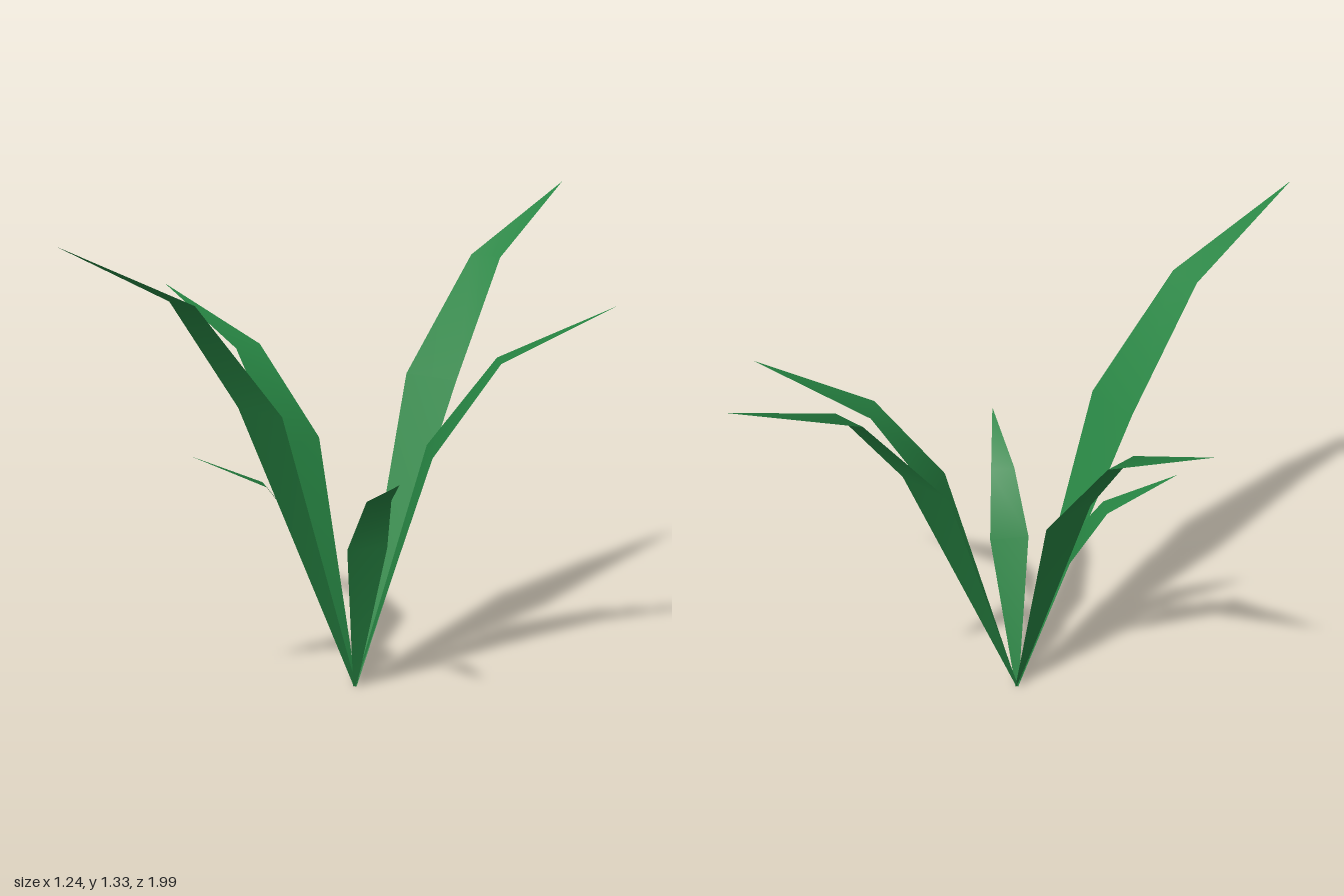
import * as THREE from 'three';

// Leaf sizes: [distance outward, height, width] at the root, belly, neck and tip
const TALL = [[0, 0, 0.012], [0.347, 0.83, 0.176], [0.607, 1.147, 0.102], [1, 1.33, 0]];
const MEDIUM = [[0, 0, 0.012], [0.204, 0.67, 0.175], [0.392, 0.922, 0.1], [0.712, 1.07, 0]];
const SMALL = [[0, 0, 0.01], [0.132, 0.43, 0.112], [0.254, 0.592, 0.068], [0.458, 0.682, 0]];

// Each leaf points from the root towards the x, z of its tip
const ROOT_X = 0.093;
const LEAVES = [
  ['frontTallLeaf', TALL, -0.04, 0.99],
  ['backTallLeaf', TALL, 0.08, -1],
  ['leftMediumLeaf', MEDIUM, 0.62, -0.48],
  ['rightMediumLeaf', MEDIUM, -0.617, -0.004],
  ['leftSmallLeaf', SMALL, 0.46, 0.275],
  ['rightSmallLeaf', SMALL, -0.187, 0.36],
];

// Thin folded blade: a row of edge pairs ending in one point
function leafGeometry(profile, tipX, tipZ) {
  const dir = new THREE.Vector2(tipX - ROOT_X, tipZ).normalize();
  const positions = [];
  const index = [];
  for (const [out, y, width] of profile) {
    const sides = width > 0 ? [-0.5, 0.5] : [0];
    for (const s of sides) {
      positions.push(
        ROOT_X + dir.x * out + dir.y * width * s,
        y,
        dir.y * out - dir.x * width * s
      );
    }
  }
  const last = profile.length - 2;
  for (let i = 0; i < last; i++) {
    const a = i * 2;
    index.push(a, a + 1, a + 3, a, a + 3, a + 2);
  }
  index.push(last * 2, last * 2 + 1, last * 2 + 2);
  // Face the upper side of the leaf upwards
  for (let i = 0; i < index.length; i += 3) {
    [index[i + 1], index[i + 2]] = [index[i + 2], index[i + 1]];
  }
  const geometry = new THREE.BufferGeometry();
  geometry.setAttribute('position', new THREE.Float32BufferAttribute(positions, 3));
  geometry.setIndex(index);
  geometry.computeVertexNormals();
  return geometry;
}

export function createModel() {
  const plant = new THREE.Group();
  plant.name = 'plant';
  const green = new THREE.MeshStandardMaterial({ color: 0x278543, side: THREE.DoubleSide });
  green.name = 'leaf green';

  for (const [name, profile, x, z] of LEAVES) {
    const leaf = new THREE.Mesh(leafGeometry(profile, x, z), green);
    leaf.name = name;
    plant.add(leaf);
  }
  return plant;
}
